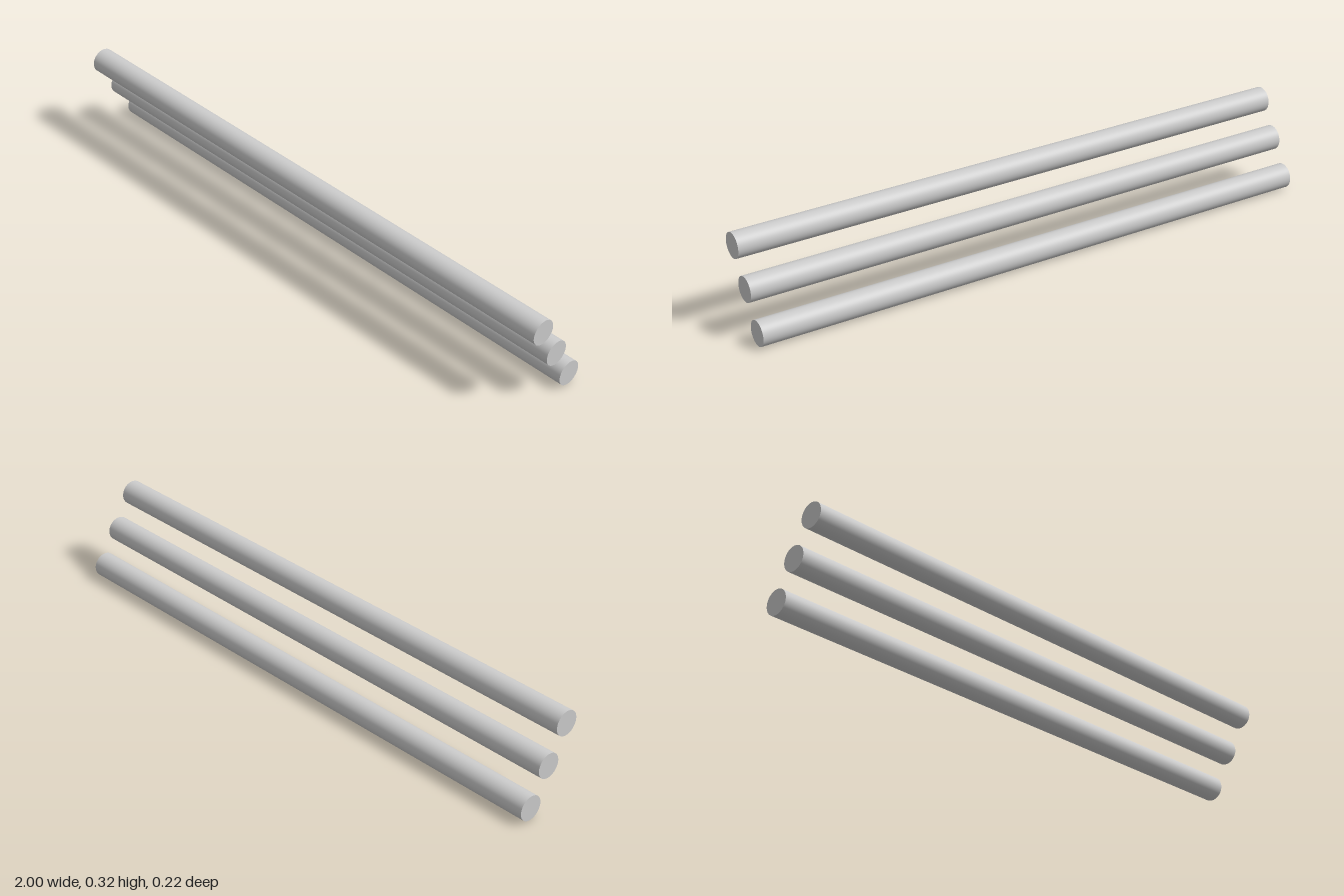
import * as THREE from 'three';

const RADIUS = 0.042;
const LENGTH = 2;
const STEP_Y = 0.1175; // rise from one rod to the next
const STEP_Z = 0.068; // forward shift from one rod to the next

export function createModel() {
  const group = new THREE.Group();
  group.name = 'rodSet';

  const material = new THREE.MeshStandardMaterial({ color: 0xcccccc });

  // One capped round rod lying along x
  const rodGeometry = new THREE.CylinderGeometry(RADIUS, RADIUS, LENGTH, 64);
  rodGeometry.rotateZ(Math.PI / 2);

  // Three parallel rods, stepping up and forward
  ['lowerRod', 'middleRod', 'upperRod'].forEach((name, i) => {
    const rod = new THREE.Mesh(rodGeometry, material);
    rod.name = name;
    rod.position.set(0, RADIUS + i * STEP_Y, (i - 1) * STEP_Z);
    group.add(rod);
  });

  return group;
}
